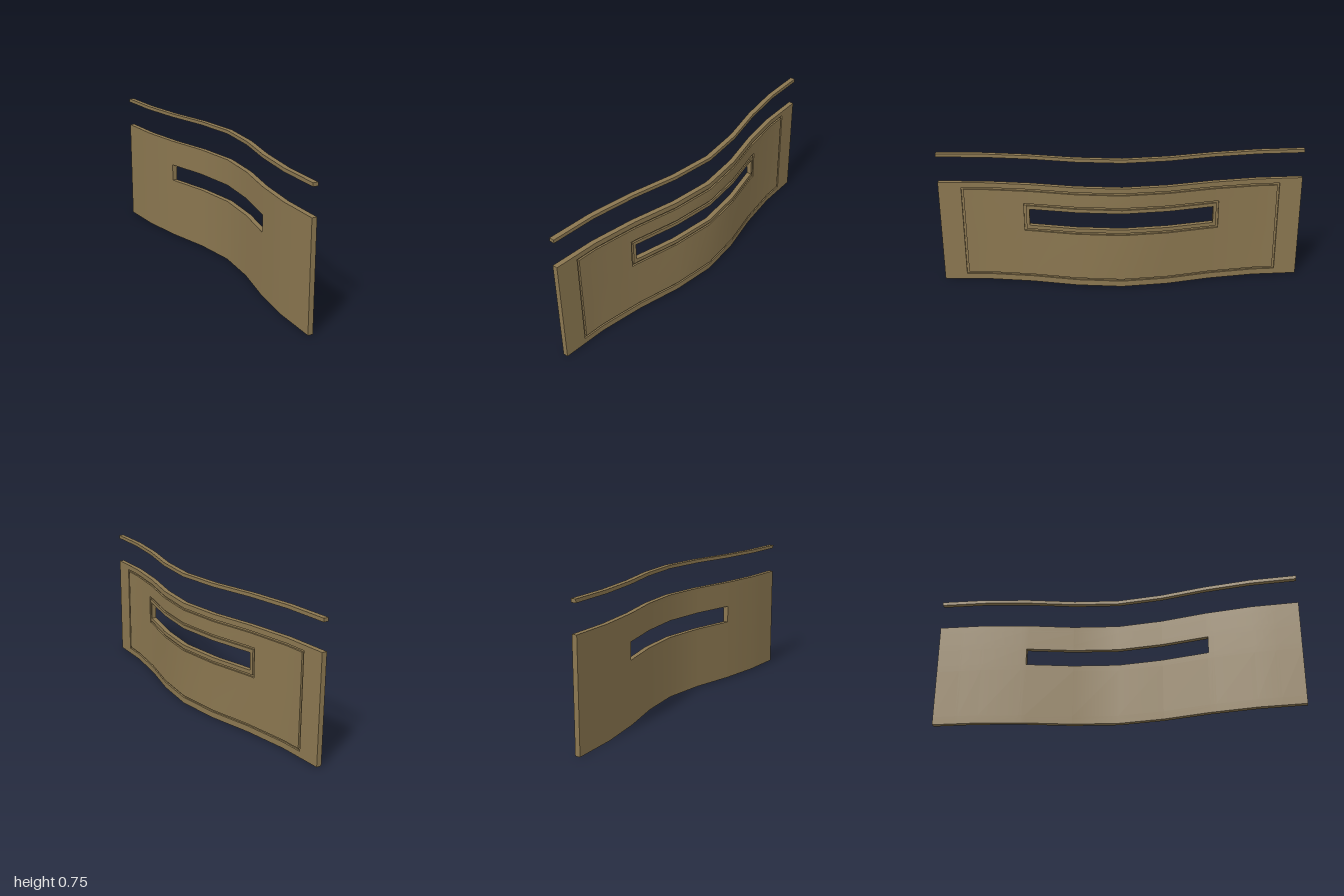
import * as THREE from 'three';
import { toCreasedNormals } from 'three/addons/utils/BufferGeometryUtils.js';

const THICK = 0.028;
const GROOVE = 0.01;

// x of the decorated face at each quarter of the half length
const BENDS = [0.081, 0.053, -0.005, -0.043, -0.055];
function faceX(z) {
  const t = Math.abs(z) * 4;
  const i = Math.min(3, Math.floor(t));
  return BENDS[i] + (BENDS[i + 1] - BENDS[i]) * (t - i);
}

// Bent slab on a z/y grid; depthAt gives how far each cell is cut in from the face
function bentSlab(halfZs, ys, depthAt) {
  const zs = [...new Set([0, 0.25, 0.5, 0.75, 1, ...halfZs].flatMap((z) => [z, -z || 0]))].sort((a, b) => a - b);
  const nz = zs.length - 1, ny = ys.length - 1;
  const pos = [];
  const point = (d, y, z) => [faceX(z) - d, y, z];
  const quad = (flip, ...p) => {
    const [a, b, c, d] = flip ? p.reverse() : p;
    pos.push(...a, ...b, ...c, ...a, ...c, ...d);
  };
  const depth = (i, j) => (i < 0 || j < 0 || i >= nz || j >= ny
    ? THICK
    : depthAt(Math.abs(zs[i] + zs[i + 1]) / 2, (ys[j] + ys[j + 1]) / 2));

  for (let i = 0; i < nz; i++) {
    for (let j = 0; j < ny; j++) {
      const d = depth(i, j);
      if (d >= THICK) continue;
      const z0 = zs[i], z1 = zs[i + 1], y0 = ys[j], y1 = ys[j + 1];
      // decorated face and plain back
      for (const [w, flip] of [[d, false], [THICK, true]]) {
        quad(flip, point(w, y0, z1), point(w, y0, z0), point(w, y1, z0), point(w, y1, z1));
      }
      // walls down to deeper neighbours
      for (const s of [1, -1]) {
        const dz = depth(i + s, j), z = s > 0 ? z1 : z0;
        if (dz > d) quad(s < 0, point(dz, y0, z), point(d, y0, z), point(d, y1, z), point(dz, y1, z));
        const dy = depth(i, j + s), y = s > 0 ? y1 : y0;
        if (dy > d) quad(s < 0, point(dy, y, z1), point(d, y, z1), point(d, y, z0), point(dy, y, z0));
      }
    }
  }
  const geometry = new THREE.BufferGeometry();
  geometry.setAttribute('position', new THREE.Float32BufferAttribute(pos, 3));
  return toCreasedNormals(geometry, 0.5);
}

export function createModel() {
  const group = new THREE.Group();
  const material = new THREE.MeshStandardMaterial({ color: 0x8b7750 });
  const add = (name, geometry) => {
    const mesh = new THREE.Mesh(geometry, material);
    mesh.name = name;
    group.add(mesh);
  };

  // Nested rectangles: half length, bottom, top, and depth inside each
  const rects = [
    [0.875, 0.033, 0.557, GROOVE], // border groove
    [0.863, 0.044, 0.545, 0],
    [0.535, 0.312, 0.472, GROOVE], // groove around the opening
    [0.523, 0.324, 0.460, 0],
    [0.505, 0.345, 0.440, THICK], // opening
  ];
  const ys = [0, 0.585, ...rects.flatMap((r) => [r[1], r[2]])].sort((a, b) => a - b);
  add('wavyPanel', bentSlab(rects.map((r) => r[0]), ys, (z, y) => {
    let d = 0;
    for (const [half, bottom, top, inside] of rects) {
      if (z < half && y > bottom && y < top) d = inside;
    }
    return d;
  }));

  // Thin rail floating above, following the same curve
  add('topRail', bentSlab([], [0.731, 0.75], () => 0));

  return group;
}
